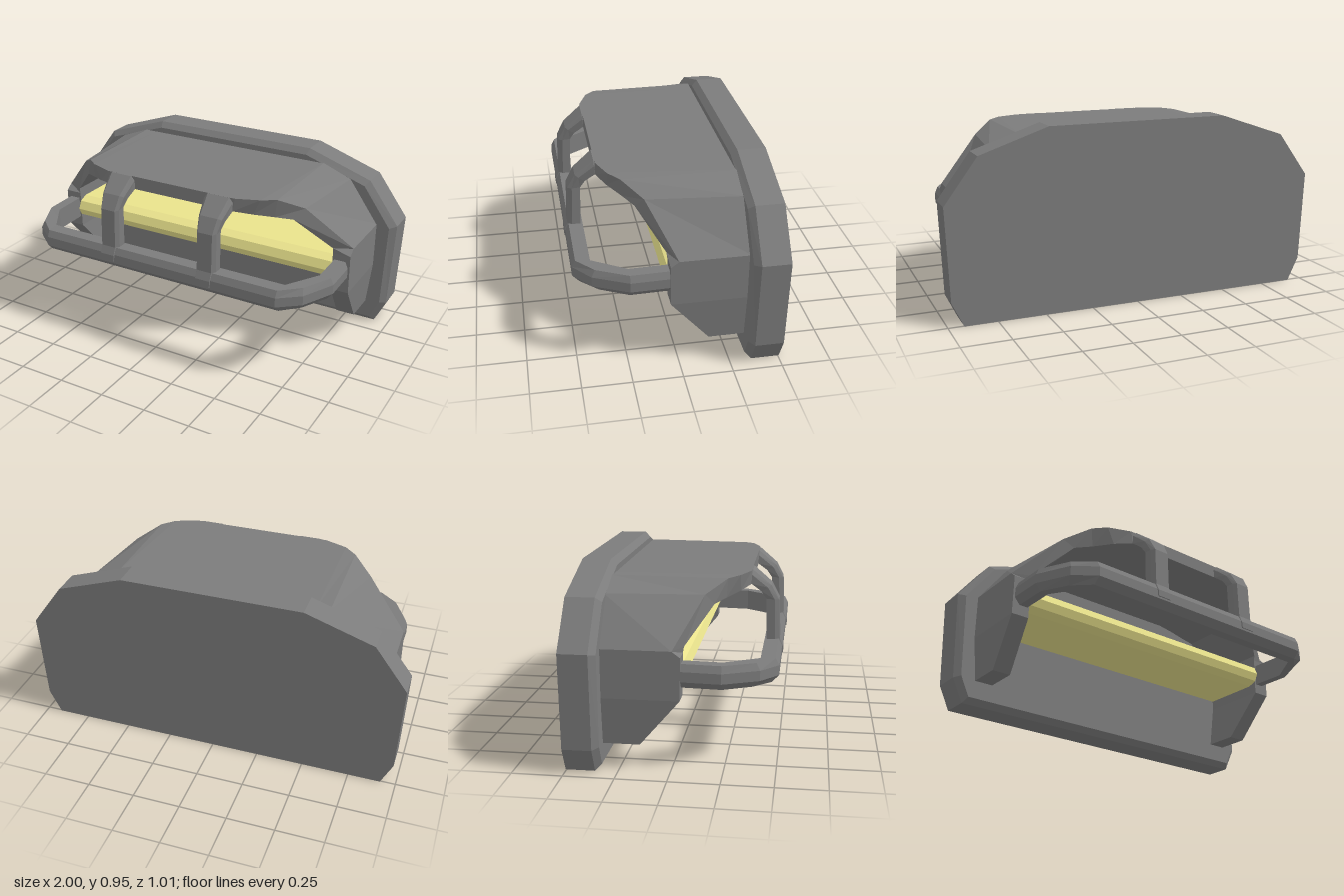
import * as THREE from 'three';

// Skins a series of equal-length rings of [x, y, z] points and caps both ends.
function loft(rings) {
  const pos = [];
  const tri = (a, b, c) => pos.push(...a, ...b, ...c);
  const n = rings[0].length;
  for (let i = 0; i < rings.length - 1; i++) {
    for (let j = 0; j < n; j++) {
      const k = (j + 1) % n, a = rings[i], b = rings[i + 1];
      tri(a[j], a[k], b[k]);
      tri(a[j], b[k], b[j]);
    }
  }
  const last = rings[rings.length - 1];
  for (let j = 1; j < n - 1; j++) {
    tri(rings[0][0], rings[0][j + 1], rings[0][j]);
    tri(last[0], last[j], last[j + 1]);
  }
  // Turn the faces outward when the enclosed volume comes out negative.
  let volume = 0;
  const a = new THREE.Vector3(), b = new THREE.Vector3(), c = new THREE.Vector3();
  for (let i = 0; i < pos.length; i += 9) {
    volume += a.fromArray(pos, i).dot(b.fromArray(pos, i + 3).cross(c.fromArray(pos, i + 6)));
  }
  if (volume < 0) {
    for (let i = 0; i < pos.length; i += 9) {
      for (let k = 0; k < 3; k++) [pos[i + 3 + k], pos[i + 6 + k]] = [pos[i + 6 + k], pos[i + 3 + k]];
    }
  }
  const geometry = new THREE.BufferGeometry();
  geometry.setAttribute('position', new THREE.Float32BufferAttribute(pos, 3));
  geometry.computeVertexNormals();
  return geometry;
}

// Continues half a run of rings (+x side to the middle) onto the -x side.
const mirrored = (half) => [
  ...half,
  ...half.slice().reverse().map((ring) => ring.map(([x, y, z]) => [-x, y, z])),
];

export function createModel() {
  const group = new THREE.Group();
  const grey = new THREE.MeshStandardMaterial({ color: 0x7c7c7c, flatShading: true });
  const yellow = new THREE.MeshStandardMaterial({ color: 0xe9e28c, flatShading: true });
  const add = (name, geometry, material = grey) => {
    const mesh = new THREE.Mesh(geometry, material);
    mesh.name = name;
    group.add(mesh);
    return mesh;
  };

  // Back plate with a bevelled front edge
  const right = [[0.92, 0], [0.98, 0.125], [1, 0.6], [0.83, 0.83], [0.475, 0.95]];
  const rightInset = [[0.9, 0.03], [0.95, 0.135], [0.965, 0.59], [0.81, 0.805], [0.465, 0.92]];
  const plateRing = (half, z) => [
    ...half.map(([x, y]) => [x, y, z]),
    ...half.slice().reverse().map(([x, y]) => [-x, y, z]),
  ];
  add('backPlate', loft([plateRing(right, -0.505), plateRing(right, -0.36), plateRing(rightInset, -0.33)]));

  // Hood shell, open below: [outer back x, y], [outer front x, y, z], [inner front x, y, z]
  const hood = [
    [[0.87, 0.125], [0.87, 0.125, -0.15], [0.77, 0.125, -0.15]],
    [[0.895, 0.36], [0.895, 0.36, 0.047], [0.8, 0.36, 0.047]],
    [[0.895, 0.57], [0.895, 0.57, 0.05], [0.8, 0.57, 0.05]],
    [[0.895, 0.6], [0.895, 0.6, 0.01], [0.8, 0.6, 0.055]],
    [[0.73, 0.83], [0.675, 0.825, 0.14], [0.63, 0.77, 0.18]],
    [[0.57, 0.89], [0.565, 0.885, 0.24], [0.55, 0.785, 0.23]],
    [[0.5, 0.89], [0.5, 0.89, 0.295], [0.46, 0.805, 0.295]],
    [[0.38, 0.89], [0.38, 0.89, 0.34], [0.37, 0.82, 0.34]],
  ];
  add('hood', loft(mirrored(hood.map(([back, outer, inner]) => [
    [...back, -0.34], outer, inner, [inner[0], inner[1], -0.34],
  ]))));

  // Light: a long bar with a rounded front edge
  const lightProfile = [
    [-0.34, 0.54], [0, 0.54], [0.05, 0.52], [0.07, 0.475], [0.05, 0.435], [0, 0.415], [-0.34, 0.415],
  ];
  add('light', loft([-0.8, 0.8].map((x) => lightProfile.map(([z, y]) => [x, y, z]))), yellow);

  // Guard rail: a U of faceted bar, as inner and outer [x, z] corners
  const railPath = [
    [[0.81, 0.02], [0.885, 0.02]],
    [[0.81, 0.24], [0.885, 0.24]],
    [[0.755, 0.325], [0.8, 0.415]],
    [[0.7, 0.41], [0.69, 0.5]],
  ];
  // [share of the way from inner to outer corner, height]
  const railSection = [[0, 0.06], [0.8, 0.06], [1, 0.025], [1, -0.025], [0.6, -0.06], [0, -0.06]];
  add('guardRail', loft(mirrored(railPath.map(([inner, outer]) => railSection.map(([t, h]) => [
    inner[0] + (outer[0] - inner[0]) * t,
    0.477 - 0.02 * inner[1] + h,
    inner[1] + (outer[1] - inner[1]) * t,
  ])))));

  // Guard struts from the hood's front edge to the rail: inner [z, y], outer [z, y], half width
  const strutPath = [
    [[0.3, 0.82], [0.3, 0.888], 0.08],
    [[0.34, 0.82], [0.345, 0.89], 0.08],
    [[0.39, 0.78], [0.44, 0.81], 0.065],
    [[0.415, 0.74], [0.48, 0.735], 0.055],
    [[0.42, 0.53], [0.487, 0.53], 0.055],
    [[0.42, 0.49], [0.505, 0.49], 0.055],
    [[0.425, 0.45], [0.505, 0.455], 0.05],
  ];
  const strutSection = [[-1, 0], [-1, 0.65], [-0.75, 1], [0.75, 1], [1, 0.65], [1, 0]];
  for (const side of [-1, 1]) {
    const strut = add(side > 0 ? 'leftStrut' : 'rightStrut', loft(strutPath.map(([inner, outer, w]) =>
      strutSection.map(([u, t]) => [
        u * w,
        inner[1] + (outer[1] - inner[1]) * t,
        inner[0] + (outer[0] - inner[0]) * t,
      ]))));
    strut.position.x = side * 0.29;
  }
  return group;
}
